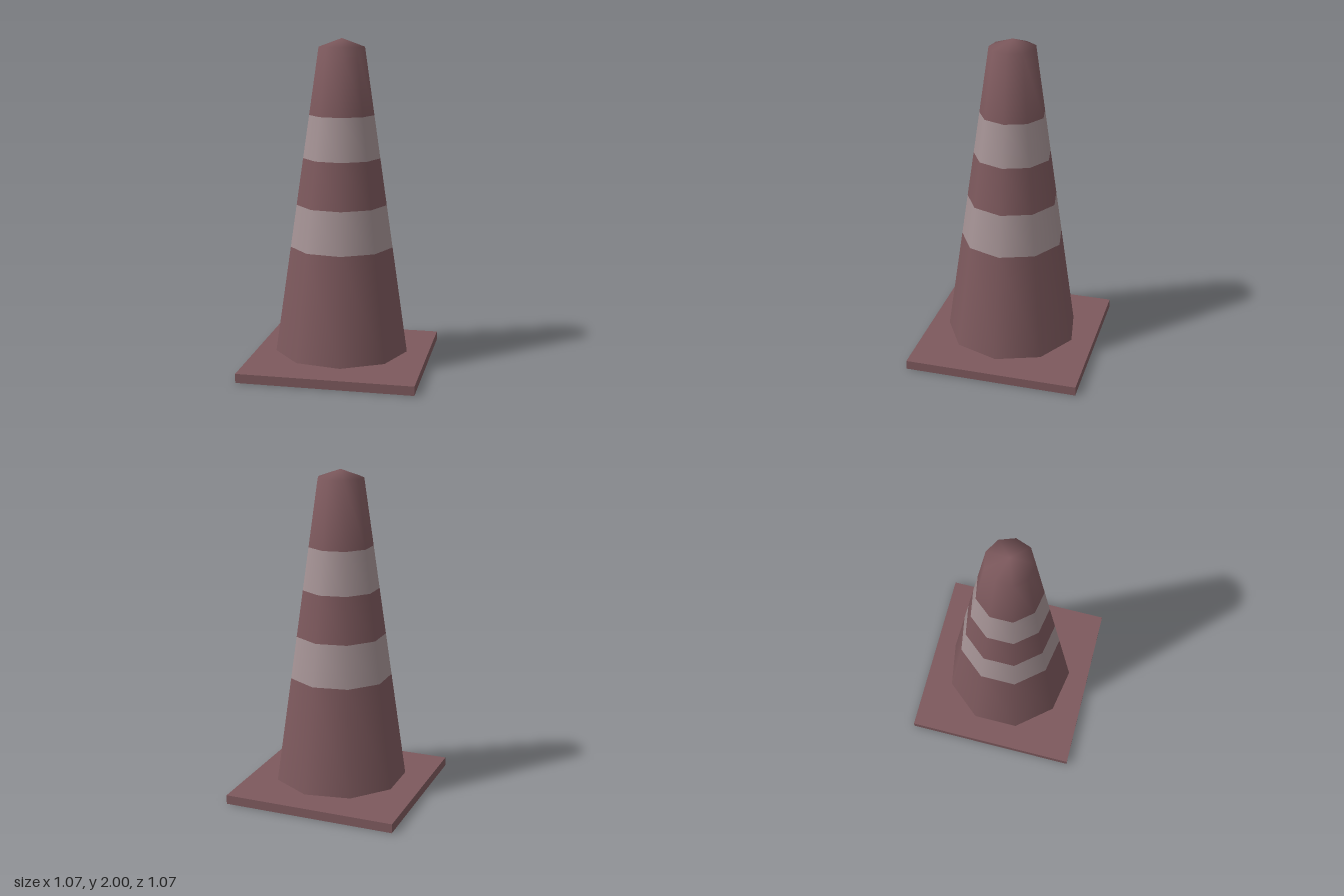
import * as THREE from 'three';

const SIDES = 9;
const BOTTOM = 0.085, RIM = 1.95, TOP = 2;

// Radius of the tapering cone at height y
const radiusAt = (y) => THREE.MathUtils.mapLinear(y, BOTTOM, RIM, 0.41, 0.14);

// Nine-sided ring of cone wall, with a corner pointing to +x
function lathe(points) {
  const profile = points.map(([r, y]) => new THREE.Vector2(r, y));
  return new THREE.LatheGeometry(profile, SIDES, Math.PI / 2);
}

export function createModel() {
  const model = new THREE.Group();
  const body = new THREE.MeshStandardMaterial({ color: 0x7d595d, side: THREE.DoubleSide });
  body.name = 'dustyRed';
  const stripe = new THREE.MeshStandardMaterial({ color: 0xa59395, side: THREE.DoubleSide });
  stripe.name = 'paleGrey';

  function add(name, geometry, material) {
    const mesh = new THREE.Mesh(geometry, material);
    mesh.name = name;
    model.add(mesh);
    return mesh;
  }

  // Cone wall in alternating bands
  const bands = [
    ['lowerBody', BOTTOM, 0.74, body],
    ['lowerStripe', 0.74, 1.0, stripe],
    ['middleBody', 1.0, 1.285, body],
    ['upperStripe', 1.285, 1.545, stripe],
  ];
  for (const [name, y0, y1, material] of bands) {
    add(name, lathe([[radiusAt(y0), y0], [radiusAt(y1), y1]]), material);
  }

  // Upper wall running smoothly into the shallow pointed cap
  const tip = lathe([[radiusAt(1.545), 1.545], [radiusAt(RIM), RIM], [0, TOP]]);
  const { position, normal } = tip.attributes;
  for (let i = 0; i < position.count; i++) {
    if (position.getY(i) > TOP - 0.001) normal.setXYZ(i, 0, 1, 0);
  }
  add('topAndCap', tip, body);

  // Square base plate, hollow underneath (the downward face is left out)
  const plate = new THREE.BoxGeometry(1.066, 0.056, 1.066);
  const faces = Array.from(plate.index.array);
  faces.splice(18, 6);
  plate.setIndex(faces);
  plate.clearGroups();
  add('basePlate', plate, body).position.y = 0.028;

  return model;
}
